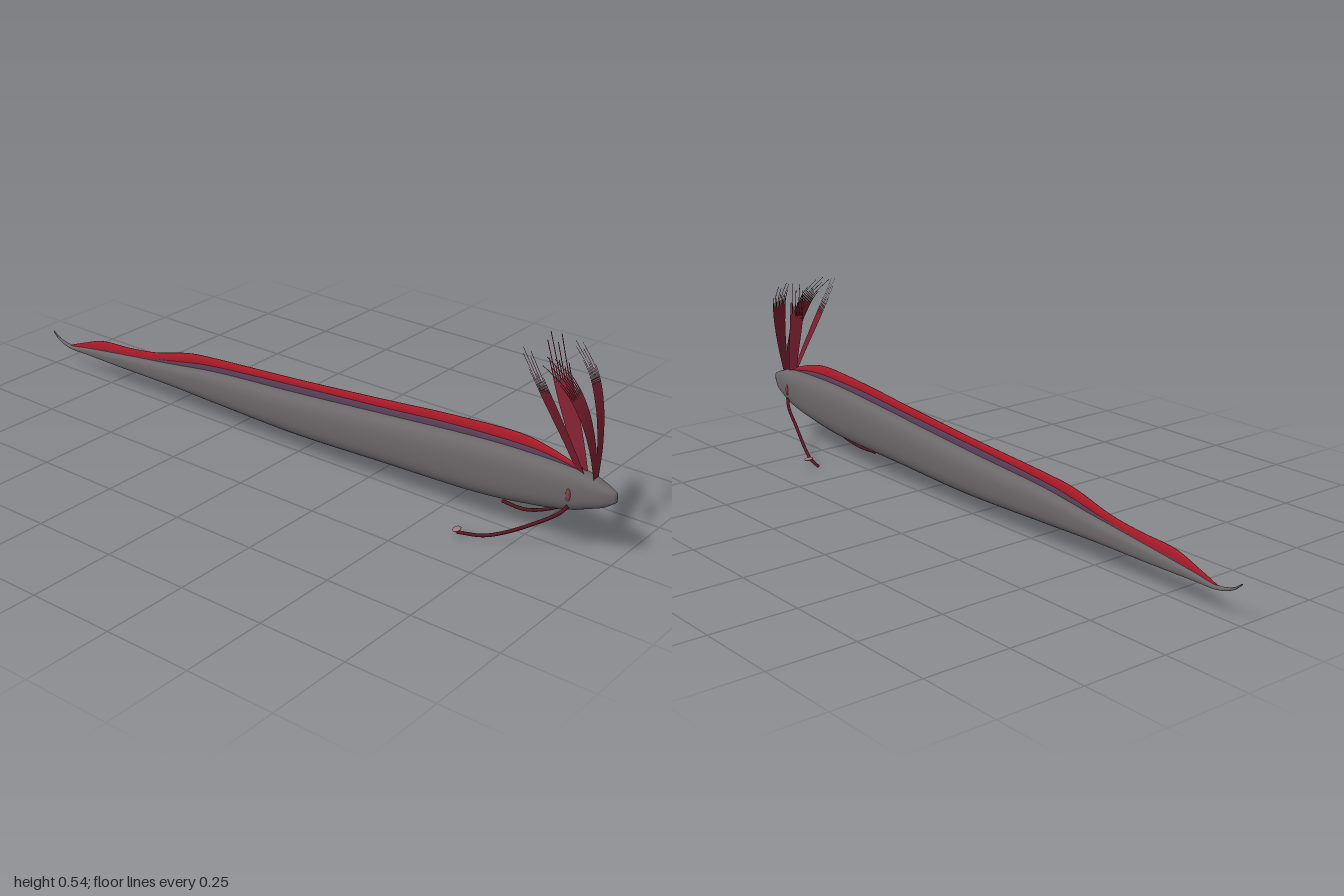
import * as THREE from 'three';

const mat = (name, color, side = THREE.FrontSide) => {
  const m = new THREE.MeshStandardMaterial({ color, side });
  m.name = name;
  return m;
};

// Skin lofted along z from stations [z, top, bottom, halfWidth]
function loft(stations, power, steps, sides) {
  const curve = (f) => new THREE.CatmullRomCurve3(stations.map(f), false, 'catmullrom', 0.5);
  const outline = curve(([z, top, bottom]) => new THREE.Vector3(z, top, bottom));
  const widths = curve(([z, , , w]) => new THREE.Vector3(z, w, 0));
  const pos = [], index = [];
  const round = (v) => Math.sign(v) * Math.abs(v) ** (2 / power);
  for (let i = 0; i <= steps; i++) {
    const p = outline.getPoint(i / steps), w = Math.max(widths.getPoint(i / steps).y, 0.001);
    for (let j = 0; j < sides; j++) {
      const a = (j / sides) * Math.PI * 2;
      pos.push(w * round(Math.cos(a)), (p.y + p.z) / 2 + ((p.y - p.z) / 2) * round(Math.sin(a)), p.x);
    }
  }
  for (let i = 0; i < steps; i++) {
    for (let j = 0; j < sides; j++) {
      const a = i * sides + j, b = i * sides + ((j + 1) % sides);
      index.push(a, a + sides, b, b, a + sides, b + sides);
    }
  }
  // End caps
  const last = steps * sides;
  for (let j = 1; j < sides - 1; j++) {
    index.push(0, j, j + 1, last, last + j + 1, last + j);
  }
  const g = new THREE.BufferGeometry();
  g.setAttribute('position', new THREE.Float32BufferAttribute(pos, 3));
  g.setIndex(index);
  // Make sure the skin faces outwards
  const p = new THREE.Vector3(), q = new THREE.Vector3(), r = new THREE.Vector3();
  let volume = 0;
  const at = g.attributes.position;
  for (let i = 0; i < index.length; i += 3) {
    p.fromBufferAttribute(at, index[i]);
    q.fromBufferAttribute(at, index[i + 1]);
    r.fromBufferAttribute(at, index[i + 2]);
    volume += p.dot(q.cross(r));
  }
  if (volume < 0) g.setIndex(index.reverse());
  g.computeVertexNormals();
  return g;
}

// Flat tapering strand: one ray of a frayed feather
function strand(path, across, u, spread, length, width) {
  const steps = 20, pos = [], index = [];
  for (let i = 0; i <= steps; i++) {
    const t = (i / steps) * length;
    const centre = path.getPoint(t).addScaledVector(across, u * (spread[0] + (spread[1] - spread[0]) * t));
    const fray = THREE.MathUtils.smoothstep(t, 0.52, 0.78);
    const w = THREE.MathUtils.lerp(width * (0.7 + 0.6 * t), 0.0011, fray);
    for (const s of [-1, 1]) pos.push(...centre.clone().addScaledVector(across, s * w).toArray());
    if (i < steps) index.push(2 * i, 2 * i + 1, 2 * i + 2, 2 * i + 1, 2 * i + 3, 2 * i + 2);
  }
  const g = new THREE.BufferGeometry();
  g.setAttribute('position', new THREE.Float32BufferAttribute(pos, 3));
  g.setIndex(index);
  g.computeVertexNormals();
  return g;
}

export function createModel() {
  const model = new THREE.Group();
  const grey = mat('body grey', 0x6b6668);
  const red = mat('fin red', 0xb41c2a);
  const purple = mat('fin base purple', 0x5a4058);
  const crestRed = mat('crest maroon', 0x7c2030, THREE.DoubleSide);
  const rayRed = mat('filament dark red', 0x581522);
  const pink = mat('paddle pink', 0xa07880);
  const spotRed = mat('gill spot red', 0x80403c);
  const add = (name, geometry, material, parent = model) => {
    const m = new THREE.Mesh(geometry, material);
    m.name = name;
    parent.add(m);
    return m;
  };

  // Long tapering body with an upturned tail tip
  add('body', loft([
    [1.0, 0.203, 0.177, 0.006], [0.97, 0.216, 0.156, 0.02], [0.93, 0.228, 0.14, 0.03],
    [0.88, 0.235, 0.122, 0.037], [0.78, 0.239, 0.102, 0.043], [0.6, 0.234, 0.08, 0.045],
    [0.3, 0.21, 0.07, 0.044], [0, 0.185, 0.061, 0.042], [-0.3, 0.163, 0.066, 0.034],
    [-0.5, 0.137, 0.07, 0.026], [-0.7, 0.112, 0.069, 0.017], [-0.85, 0.092, 0.07, 0.01],
    [-0.92, 0.081, 0.07, 0.007], [-0.97, 0.091, 0.083, 0.004], [-1.0, 0.11, 0.105, 0.002],
  ], 2.7, 90, 28), grey);

  // Dorsal fin: purple foot and red upper edge
  add('dorsalFinBase', loft([
    [0.89, 0.237, 0.22, 0.004], [0.8, 0.25, 0.22, 0.006], [0.7, 0.253, 0.22, 0.006],
    [0.5, 0.245, 0.21, 0.006], [0.3, 0.228, 0.19, 0.006], [0, 0.205, 0.17, 0.006],
    [-0.3, 0.18, 0.14, 0.005], [-0.42, 0.162, 0.13, 0.005], [-0.6, 0.13, 0.1, 0.004],
    [-0.8, 0.104, 0.085, 0.003], [-0.9, 0.086, 0.075, 0.002],
  ], 2.5, 60, 10), purple);
  add('dorsalFinEdge', loft([
    [0.9, 0.24, 0.23, 0.003], [0.8, 0.269, 0.245, 0.004], [0.7, 0.281, 0.248, 0.004],
    [0.5, 0.269, 0.24, 0.004], [0.3, 0.25, 0.223, 0.004], [0, 0.224, 0.2, 0.004],
    [-0.3, 0.203, 0.175, 0.004], [-0.42, 0.19, 0.157, 0.004], [-0.55, 0.157, 0.13, 0.003],
    [-0.66, 0.142, 0.112, 0.003], [-0.78, 0.133, 0.1, 0.003], [-0.87, 0.103, 0.083, 0.002],
    [-0.93, 0.08, 0.073, 0.001],
  ], 2.5, 70, 10), red);

  const rays = [
    [-1, 0.84], [-0.75, 0.95], [-0.5, 0.78], [-0.25, 1],
    [0, 0.82], [0.25, 0.93], [0.5, 0.77], [0.75, 0.98], [1, 0.8],
  ];
  for (const s of [1, -1]) {
    const side = s > 0 ? 'left' : 'right';
    const curve = (pts) => new THREE.CatmullRomCurve3(pts.map(([x, y, z]) => new THREE.Vector3(s * x, y, z)));

    // Front crest feather, broad across x and curling back
    const front = new THREE.Group();
    front.name = side + 'FrontCrest';
    const frontPath = curve([[0.003, 0.225, 0.94], [0.018, 0.31, 0.934], [0.036, 0.4, 0.915], [0.055, 0.475, 0.88], [0.074, 0.535, 0.82]]);
    rays.forEach(([u, len]) => add('crestRay', strand(frontPath, new THREE.Vector3(s, -0.25, 0).normalize(), u, [0.007, 0.029], len, 0.0035), crestRed, front));

    // Rear crest feather, broad along z and leaning back
    const rear = new THREE.Group();
    rear.name = side + 'RearCrest';
    const rearPath = curve([[0.004, 0.225, 0.9], [0.018, 0.3, 0.868], [0.034, 0.385, 0.828], [0.048, 0.455, 0.796], [0.066, 0.545, 0.757]]);
    rays.forEach(([u, len]) => add('crestRay', strand(rearPath, new THREE.Vector3(s * 0.35, 0.2, 0.9).normalize(), u, [0.011, 0.026], len, 0.004), crestRed, rear));
    model.add(front, rear);

    // Long trailing pelvic filament
    const filament = curve([[0.034, 0.145, 0.888], [0.043, 0.12, 0.868], [0.056, 0.078, 0.81], [0.077, 0.034, 0.735], [0.093, 0.013, 0.68], [0.108, 0.0065, 0.615]]);
    add(side + 'PelvicFilament', new THREE.TubeGeometry(filament, 32, 0.0048, 8), rayRed);
    const tip = add(side + 'FilamentTip', new THREE.SphereGeometry(0.005, 10, 8), rayRed);
    tip.position.set(s * 0.107, 0.0065, 0.615);

    // Small paddle floating beside the filament tip
    const paddle = add(side + 'Paddle', new THREE.SphereGeometry(1, 14, 10), pink);
    paddle.scale.set(0.015, 0.0045, 0.01);
    paddle.rotation.z = -s * 0.08;
    paddle.position.set(s * 0.131, 0.03, 0.628);

    // Reddish spot on the cheek
    const spot = add(side + 'GillSpot', new THREE.SphereGeometry(1, 12, 8), spotRed);
    spot.scale.set(0.003, 0.018, 0.007);
    spot.position.set(s * 0.0365, 0.175, 0.886);
  }
  return model;
}
